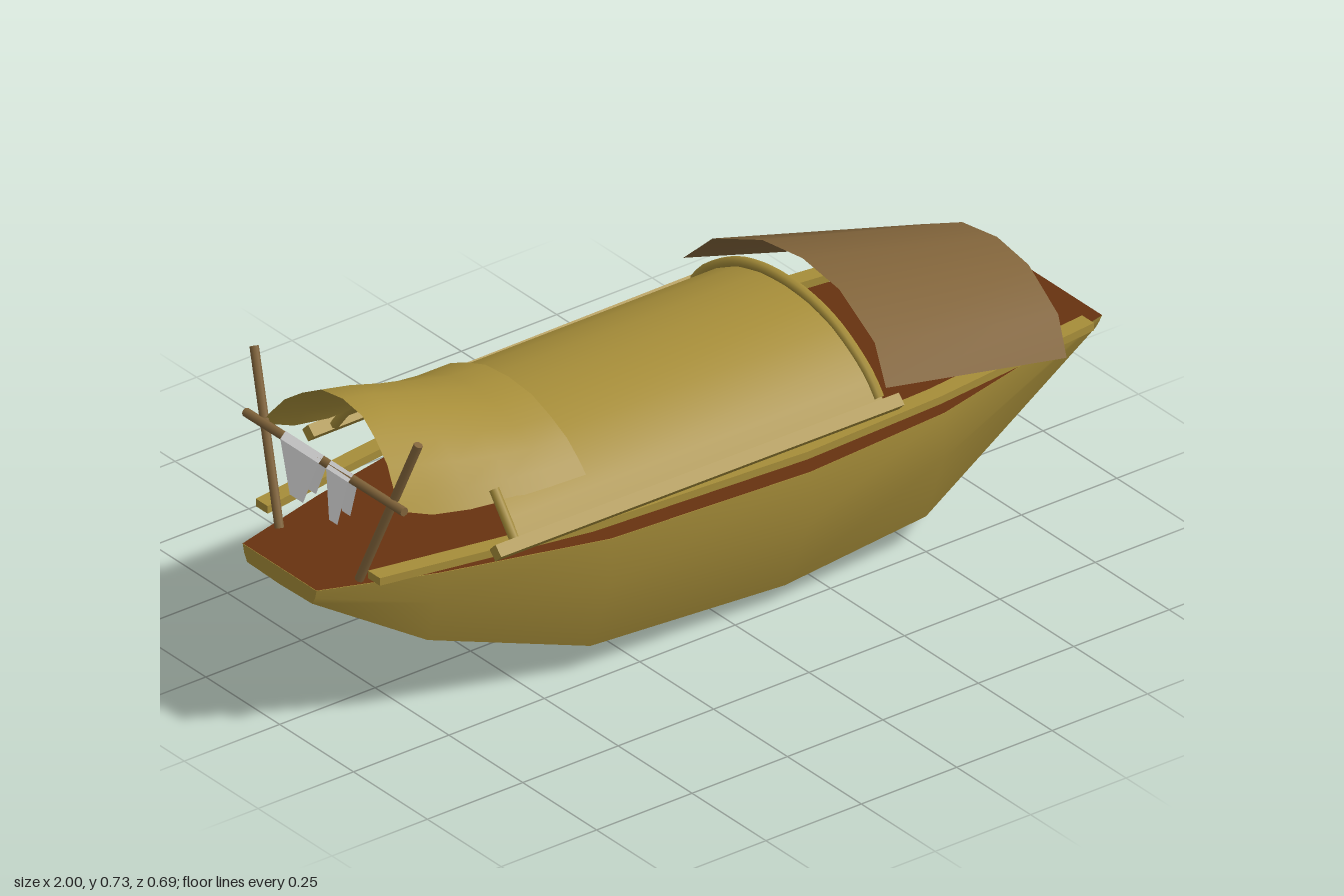
import * as THREE from 'three';
import { toCreasedNormals } from 'three/addons/utils/BufferGeometryUtils.js';

const V = (x, y, z) => new THREE.Vector3(x, y, z);

function material(name, color) {
  const m = new THREE.MeshStandardMaterial({ color, side: THREE.DoubleSide });
  m.name = name;
  return m;
}

// Skin a list of equal-length cross-sections, optionally closing both ends.
function loft(rings, caps = false, crease = 0.6) {
  const n = rings[0].length, pos = [], idx = [];
  rings.forEach(r => r.forEach(p => pos.push(p.x, p.y, p.z)));
  for (let i = 0; i < rings.length - 1; i++) {
    for (let j = 0; j < n - 1; j++) {
      const a = i * n + j, b = a + n;
      idx.push(a, a + 1, b, a + 1, b + 1, b);
    }
  }
  if (caps) {
    const e = (rings.length - 1) * n;
    for (let j = 1; j < n - 1; j++) idx.push(0, j + 1, j, e, e + j, e + j + 1);
  }
  const g = new THREE.BufferGeometry();
  g.setAttribute('position', new THREE.Float32BufferAttribute(pos, 3));
  g.setIndex(idx);
  return toCreasedNormals(g, crease);
}

// Straight pole between two points.
function pole(a, b, r, sides = 8) {
  const d = b.clone().sub(a), g = new THREE.CylinderGeometry(r, r, d.length(), sides);
  if (sides === 4) { const flat = g.toNonIndexed(); flat.computeVertexNormals(); return finish(flat); }
  return finish(g);
  function finish(geo) {
    geo.applyQuaternion(new THREE.Quaternion().setFromUnitVectors(V(0, 1, 0), d.normalize()));
    const c = a.clone().add(b).multiplyScalar(0.5);
    return geo.translate(c.x, c.y, c.z);
  }
}

// Mirror a half profile of [z, y] pairs, crown first, into a full arch.
function arch(half, x) {
  const right = half.slice(1).reverse().map(([z, y]) => V(x(y), y, -z));
  return right.concat(half.map(([z, y]) => V(x(y), y, z)));
}

export function createModel() {
  const root = new THREE.Group();
  root.name = 'coveredBoat';
  const straw = material('straw', 0xa68d39);
  const deckBrown = material('deckBrown', 0x673210);
  const woodBrown = material('woodBrown', 0x80633a);
  const cloth = material('clothWhite', 0xe6e6e6);
  const add = (name, geo, mat) => {
    const m = new THREE.Mesh(geo, mat);
    m.name = name;
    root.add(m);
    return m;
  };

  // Hull stations: x, sheer y / half width, knuckle y / half width, chine y / half width, keel y
  const stations = [
    [-1, 0.375, 0.125, 0.355, 0.12, 0.338, 0.11, 0.335],
    [-0.74, 0.363, 0.205, 0.29, 0.2, 0.185, 0.165, 0.17],
    [-0.36, 0.352, 0.295, 0.24, 0.29, 0.065, 0.225, 0.04],
    [0.14, 0.348, 0.322, 0.225, 0.322, 0.04, 0.237, 0],
    [0.51, 0.35, 0.3, 0.24, 0.297, 0.075, 0.237, 0.06],
    [1, 0.366, 0.2, 0.347, 0.19, 0.33, 0.18, 0.328],
  ];
  add('hull', loft(stations.map(([x, sy, sw, my, mw, cy, cw, ky]) => [
    V(x, sy, sw), V(x, my, mw), V(x, cy, cw), V(x, ky, 0),
    V(x, cy, -cw), V(x, my, -mw), V(x, sy, -sw),
  ]), true, 0.5), straw);
  add('deck', loft(stations.map(([x, y, w]) => [V(x, y + 0.001, -w), V(x, y + 0.001, w)])), deckBrown);

  // Main arched roof
  const roofHalf = [[0, 0.585], [0.08, 0.579], [0.16, 0.558], [0.23, 0.522], [0.28, 0.485], [0.312, 0.447]];
  add('mainRoof', loft([-0.62, 0.34].map(x => arch(roofHalf, () => x)), false, 0.8), straw);
  const hoop = arch(roofHalf.map(([z, y]) => [z, y + 0.008]), () => 0.33);
  add('roofHoop', new THREE.TubeGeometry(new THREE.CatmullRomCurve3(hoop), 24, 0.012, 6), straw);

  // Flared front roof: x at crown, crown y, edge y, half width, lean of the opening
  const flare = [
    [-0.835, 0.72, 0.568, 0.232, 0.035], [-0.76, 0.705, 0.53, 0.235, 0.02],
    [-0.68, 0.68, 0.512, 0.24, 0.005], [-0.58, 0.65, 0.506, 0.25, 0],
    [-0.49, 0.626, 0.505, 0.257, 0], [-0.4, 0.62, 0.505, 0.262, 0],
  ];
  const flareShape = [[0, 1], [0.3, 0.94], [0.54, 0.74], [0.75, 0.51], [0.9, 0.23], [1, 0]];
  add('frontRoof', loft(flare.map(([x, top, low, w, lean]) => arch(
    flareShape.map(([z, t]) => [z * w, low + t * (top - low)]),
    y => x - lean * (top - y) / (top - low)
  )), false, 0.9), straw);

  // Sloping rear canopy
  const canopyShape = [[0, 1], [0.38, 0.9], [0.8, 0.5], [1, 0]];
  add('rearCanopy', loft([[0.37, 0.633, 0.343], [0.88, 0.505, 0.296]].map(([x, top, w]) => arch(
    canopyShape.map(([z, t]) => [z * w, top - 0.138 * (1 - t)]),
    y => x - 0.047 * (top - y) / 0.138
  )), false, 0.9), woodBrown);

  // Side rails, roof beams and posts, mirrored
  const railPath = [[-0.9, 0.4, 0.19], [-0.4, 0.391, 0.27], [0.14, 0.385, 0.295], [0.5, 0.384, 0.28], [0.94, 0.383, 0.23]];
  for (const s of [1, -1]) {
    const side = s > 0 ? 'left' : 'right';
    add(side + 'Rail', loft(railPath.map(([x, y, z]) =>
      [[1, 1], [1, -1], [-1, -1], [-1, 1], [1, 1]].map(([u, v]) => V(x, y + v * 0.009, s * (z + u * 0.02)))
    ), true), straw);
    add(side + 'RoofBeam', pole(V(-0.68, 0.44, s * 0.317), V(0.37, 0.44, s * 0.326), 0.02, 4), straw);
    add(side + 'RoofPost', pole(V(-0.62, 0.445, s * 0.305), V(-0.62, 0.535, s * 0.235), 0.011, 6), straw);
  }

  // Bow rack with two leaning sticks and a crossbar
  add('leftRackStick', pole(V(-0.9, 0.375, 0.14), V(-0.84, 0.73, 0.263), 0.01), woodBrown);
  add('rightRackStick', pole(V(-0.9, 0.375, -0.13), V(-0.84, 0.715, -0.293), 0.01), woodBrown);
  add('rackCrossbar', pole(V(-0.876, 0.582, 0.262), V(-0.876, 0.578, -0.275), 0.01), woodBrown);

  // Cloths folded over the crossbar: top z range, bottom z range
  const cloths = [[0.015, 0.09, 0.038, 0.066], [-0.14, -0.01, -0.095, -0.05]];
  for (const [t0, t1, b0, b1] of cloths) {
    add('hangingCloth', loft([
      [V(-0.9, 0.471, b0), V(-0.9, 0.471, b1)],
      [V(-0.89, 0.58, t0), V(-0.89, 0.58, t1)],
      [V(-0.876, 0.594, t0), V(-0.876, 0.594, t1)],
      [V(-0.862, 0.58, t0), V(-0.862, 0.58, t1)],
      [V(-0.866, 0.48, b0), V(-0.866, 0.48, b1)],
    ]), cloth);
  }
  return root;
}
